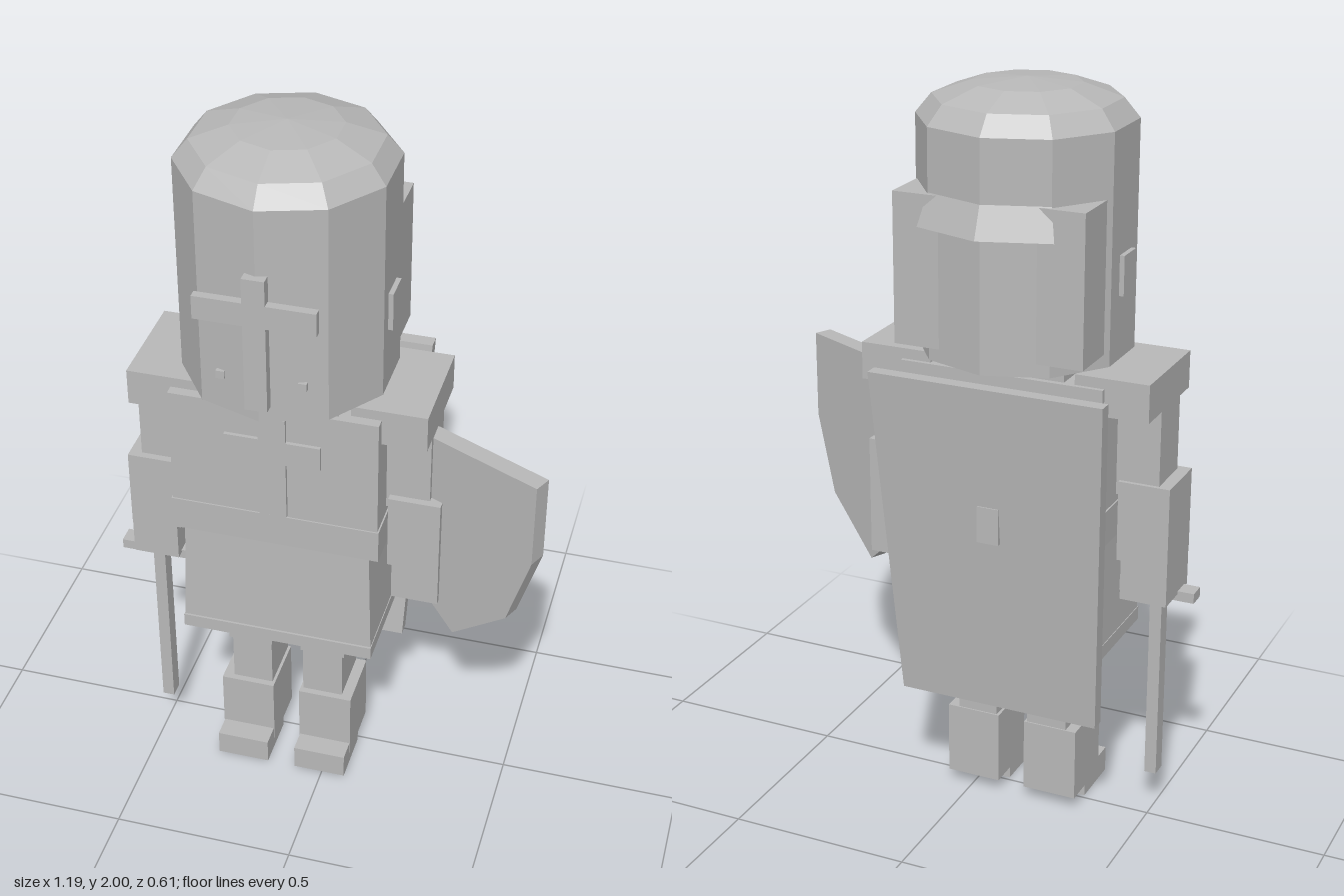
import * as THREE from 'three';

export function createModel() {
  const model = new THREE.Group();
  const grey = new THREE.MeshStandardMaterial({ color: 0xb8b8b8, flatShading: true, side: THREE.DoubleSide });
  grey.name = 'plain grey';
  const CX = -0.122; // the body's own centre line

  function add(name, geometry, parent = model) {
    const mesh = new THREE.Mesh(geometry, grey);
    mesh.name = name;
    parent.add(mesh);
    return mesh;
  }

  // Box given by its limits on each axis
  function box(name, x0, x1, y0, y1, z0, z1, parent = model) {
    const mesh = add(name, new THREE.BoxGeometry(x1 - x0, y1 - y0, z1 - z0), parent);
    mesh.position.set((x0 + x1) / 2, (y0 + y1) / 2, (z0 + z1) / 2);
    return mesh;
  }

  // Box whose width and depth change from bottom to top: [halfWidth, backZ, frontZ]
  function taperedBox(name, y0, y1, bottom, top, parent = model) {
    const g = new THREE.BoxGeometry(1, 1, 1);
    const p = g.attributes.position;
    for (let i = 0; i < p.count; i++) {
      const up = p.getY(i) > 0;
      const [w, zb, zf] = up ? top : bottom;
      p.setXYZ(i, CX + Math.sign(p.getX(i)) * w, up ? y1 : y0, p.getZ(i) > 0 ? zf : zb);
    }
    return add(name, g, parent);
  }

  const lathe = (pts, segments, start, length) =>
    new THREE.LatheGeometry(pts.map(([r, y]) => new THREE.Vector2(r, y)), segments, start, length);

  // Helmet: ten-sided barrel with a faceted dome
  const helmet = new THREE.Group();
  helmet.name = 'helmet';
  model.add(helmet);
  const shell = add('helmetShell', lathe(
    [[0, 1.305], [0.281, 1.305], [0.281, 1.9], [0.24, 1.95], [0.14, 1.985], [0, 1.997]], 10), helmet);
  shell.position.set(CX, 0, 0.006);
  const flap = add('neckFlap', lathe(
    [[0.265, 1.66], [0.312, 1.655], [0.281, 1.738], [0.265, 1.738]], 2, Math.PI * 0.8, Math.PI * 0.4), helmet);
  flap.position.copy(shell.position);
  box('helmetBackBlock', CX - 0.257, CX + 0.257, 1.34, 1.735, -0.232, -0.095, helmet);
  box('faceCrossUpright', CX - 0.029, CX + 0.029, 1.35, 1.725, 0.27, 0.306, helmet);
  box('faceCrossBar', CX - 0.156, CX + 0.156, 1.593, 1.657, 0.283, 0.306, helmet);
  for (const s of [-1, 1]) {
    const rx = CX + s * 0.106;
    box('rivet', rx - 0.011, rx + 0.011, 1.398, 1.42, 0.23, 0.262, helmet);
    const ex = CX + s * 0.265;
    box('sidePlate', ex - 0.015, ex + 0.015, 1.475, 1.58, -0.027, 0.052, helmet);
  }

  // Torso, belt and skirt
  const neck = add('neck', new THREE.CylinderGeometry(0.12, 0.12, 0.06, 10));
  neck.position.set(CX, 1.285, 0);
  box('collar', CX - 0.17, CX + 0.17, 1.2, 1.288, -0.14, 0.165);
  box('chest', CX - 0.28, CX + 0.28, 0.93, 1.268, -0.155, 0.18);
  box('chestCrossUpright', CX - 0.037, CX + 0.037, 0.935, 1.245, 0.17, 0.19);
  box('chestCrossBar', CX - 0.129, CX + 0.129, 1.105, 1.175, 0.17, 0.19);
  box('belt', CX - 0.284, CX + 0.284, 0.835, 0.93, -0.157, 0.184);
  taperedBox('skirt', 0.525, 0.835, [0.265, -0.14, 0.178], [0.255, -0.15, 0.168]);
  box('skirtHem', CX - 0.267, CX + 0.267, 0.487, 0.525, -0.14, 0.184);

  // Sloping back board with a small catch
  taperedBox('backBoard', 0.322, 1.262, [0.282, -0.162, -0.122], [0.322, -0.26, -0.222]);
  box('backBoardCatch', CX - 0.03, CX + 0.03, 0.83, 0.93, -0.2, -0.229);

  // Arms and legs, mirrored about the centre line
  for (const s of [-1, 1]) {
    const limb = (name, a, b, y0, y1, z0, z1) =>
      box(name, CX + Math.min(s * a, s * b), CX + Math.max(s * a, s * b), y0, y1, z0, z1);
    limb('shoulderPad', 0.2, 0.399, 1.195, 1.296, -0.143, 0.152);
    limb('upperArm', 0.27, 0.397, 0.95, 1.195, -0.045, 0.09);
    limb('forearm', 0.29, 0.43, 0.77, 0.99, -0.056, 0.11);
    limb('hand', 0.302, 0.43, 0.66, 0.77, -0.056, 0.108);
    limb('hip', 0.042, 0.168, 0.39, 0.49, -0.068, 0.096);
    limb('thigh', 0.046, 0.16, 0.24, 0.39, -0.066, 0.088);
    limb('boot', 0.038, 0.19, 0.035, 0.24, -0.07, 0.106);
    limb('foot', 0.04, 0.188, 0, 0.072, 0.012, 0.167);
  }

  // Sword pointing down from the right hand
  box('swordGuard', -0.597, -0.388, 0.64, 0.668, 0.035, 0.084);
  box('swordBlade', -0.508, -0.475, 0.105, 0.65, 0.037, 0.082);

  // Pointed shield, turned outward on the left arm
  const outline = [[-0.24, 1.182], [-0.24, 0.94], [-0.17, 0.72], [0, 0.572], [0.17, 0.72], [0.24, 0.94], [0.24, 1.182]];
  const shape = new THREE.Shape(outline.map(([x, y]) => new THREE.Vector2(x, y)));
  const shieldGeometry = new THREE.ExtrudeGeometry(shape, { depth: 0.05, bevelEnabled: false });
  shieldGeometry.translate(0, 0, -0.025);
  const shield = add('shield', shieldGeometry);
  shield.position.set(0.364, 0, 0.088);
  shield.rotation.y = -0.44;

  return model;
}
